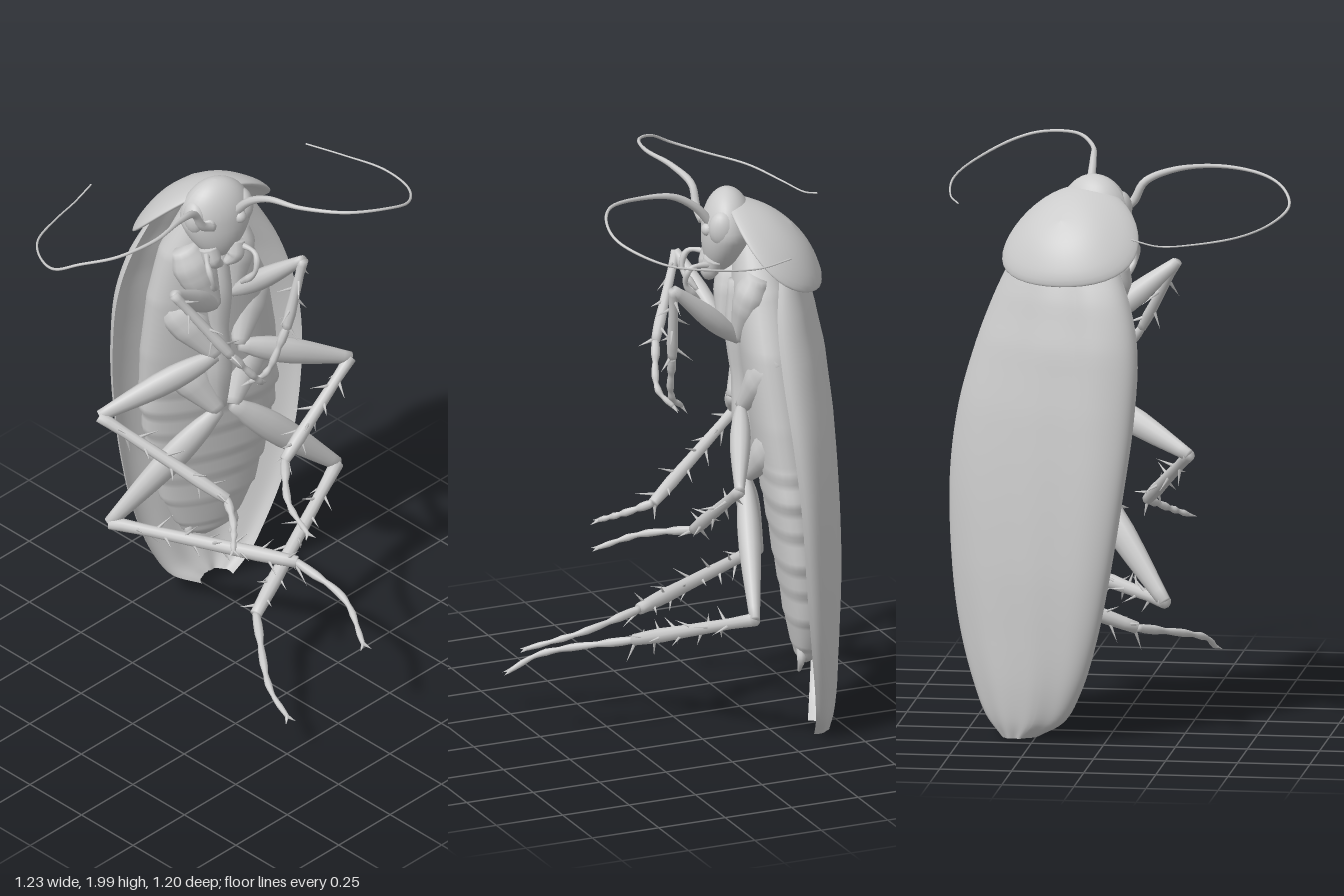
import * as THREE from 'three';

const V = (x, y, z) => new THREE.Vector3(x, y, z);
const curve = (pts) => new THREE.CatmullRomCurve3(pts.map((p) => V(...p)));
const mat = new THREE.MeshStandardMaterial({ color: 0xcccccc, roughness: 0.7 });
const thin = new THREE.MeshStandardMaterial({ color: 0xcccccc, roughness: 0.7, side: THREE.DoubleSide });

// Body axes: the insect stands upright and is turned a little about y
const U = V(0.94, 0, 0.34);      // across the body
const BACK = V(0.34, 0, -0.94);  // out of the back

const mesh = (name, geo, material = mat) => {
  const m = new THREE.Mesh(geo, material);
  m.name = name;
  return m;
};

// Surface from fn(u, v) -> Vector3; closed joins the u ends
function grid(fn, nu, nv, closed) {
  const pos = [], idx = [], cols = closed ? nu : nu + 1;
  for (let j = 0; j <= nv; j++)
    for (let i = 0; i < cols; i++) pos.push(...fn(i / nu, j / nv, j).toArray());
  for (let j = 0; j < nv; j++)
    for (let i = 0; i < nu; i++) {
      const k = (i + 1) % cols, a = j * cols + i, b = j * cols + k, c = a + cols, d = b + cols;
      idx.push(a, b, c, b, d, c);
    }
  const g = new THREE.BufferGeometry();
  g.setAttribute('position', new THREE.Float32BufferAttribute(pos, 3));
  g.setIndex(idx);
  g.computeVertexNormals();
  return g;
}

const lerpList = (list, t) => {
  const f = t * (list.length - 1), i = Math.min(Math.floor(f), list.length - 2);
  return THREE.MathUtils.lerp(list[i], list[i + 1], f - i);
};

// Capped tube along points with varying radius; flat < 1 thins it front to back
function limb(name, pts, radii, n = 14, sides = 10, flat = 1) {
  const c = curve(pts), fr = c.computeFrenetFrames(n);
  return mesh(name, grid((u, v, j) => {
    const k = THREE.MathUtils.clamp(j - 1, 0, n);
    const r = j === 0 || j === n + 2 ? 0 : lerpList(radii, k / n);
    const a = u * Math.PI * 2;
    const off = V(0, 0, 0).addScaledVector(fr.normals[k], Math.cos(a) * r).addScaledVector(fr.binormals[k], Math.sin(a) * r);
    off.addScaledVector(BACK, (flat - 1) * off.dot(BACK));
    return c.getPointAt(k / n).add(off);
  }, sides, n + 2, true));
}

function spike(at, dir, len, r) {
  const m = mesh('spine', new THREE.ConeGeometry(r, len, 5).translate(0, len / 2, 0));
  m.position.copy(at);
  m.quaternion.setFromUnitVectors(V(0, 1, 0), dir.clone().normalize());
  return m;
}

// Leg: coxa, flattened femur, spiny tibia, jointed tarsus with two claws
function leg(name, root, hip, knee, ankle, toes, size, spines) {
  const g = new THREE.Group();
  g.name = name;
  const K = V(...knee), A = V(...ankle), H = V(...hip);
  g.add(limb('coxa', [root, hip], [0.045, 0.075, 0.07, 0.048, 0.026], 14, 12, 0.8));
  g.add(limb('femur', [hip, knee], [0.022, 0.04, 0.048, 0.047, 0.04, 0.031, 0.022].map((r) => r * size), 14, 12, 0.75));
  g.add(limb('tibia', [knee, ankle], [0.022, 0.018, 0.02, 0.021, 0.024, 0.019].map((r) => r * size)));
  g.add(limb('tarsus', [ankle, ...toes], [0.013, 0.016, 0.016, 0.01, 0.013, 0.014, 0.009, 0.013, 0.008, 0.011, 0.008], 30, 8));
  const axis = A.clone().sub(K).normalize();
  const side = axis.clone().cross(H.sub(K)).normalize();
  for (let i = 0; i < spines; i++) {
    const at = K.clone().lerp(A, 0.15 + (0.85 * i) / (spines - 1));
    const out = side.clone().applyAxisAngle(axis, i * 2.3);
    g.add(spike(at.addScaledVector(out, 0.012), out.addScaledVector(axis, 0.8), 0.055 + 0.012 * (i % 3), 0.007));
  }
  const tip = V(...toes.at(-1));
  const dir = tip.clone().sub(V(...toes.at(-2))).normalize();
  for (const s of [-1, 1]) g.add(spike(tip, dir.clone().addScaledVector(U, s * 0.7), 0.035, 0.008));
  return g;
}

// Folded wings: a vaulted shell between two edge curves
const edgeL = curve([[0.0, 1.74, -0.38], [-0.08, 1.55, -0.43], [-0.113, 1.38, -0.46], [-0.105, 1.15, -0.49],
  [-0.073, 0.9, -0.515], [-0.025, 0.6, -0.52], [0.02, 0.38, -0.51], [0.075, 0.2, -0.485], [0.14, 0.08, -0.45], [0.24, 0.015, -0.4]]);
const edgeR = curve([[0.32, 1.72, -0.26], [0.4, 1.55, -0.215], [0.465, 1.38, -0.205], [0.53, 1.15, -0.215],
  [0.56, 0.9, -0.235], [0.55, 0.6, -0.26], [0.52, 0.38, -0.29], [0.47, 0.2, -0.325], [0.42, 0.08, -0.35], [0.36, 0.01, -0.37]]);
const vault = [0.06, 0.115, 0.135, 0.13, 0.115, 0.105, 0.088, 0.075, 0.062, 0.05];

function wing(name, s0, s1, lift) {
  return mesh(name, grid((u, v) => {
    const a = THREE.MathUtils.lerp(Math.acos(-s0), Math.acos(-s1), u), s = -Math.cos(a);
    const p = edgeL.getPoint(v).lerp(edgeR.getPoint(v), (s + 1) / 2);
    const ripple = 0.004 * Math.sin(s * 9 + v * 5) * Math.sin(a);
    return p.addScaledVector(BACK, lerpList(vault, v) * Math.pow(Math.sin(a), 0.8) + ripple + lift * Math.sin(a));
  }, 24, 48, false), thin);
}

// Thorax and ringed abdomen with a flattened belly
function trunk() {
  const mid = curve([[0.1, 1.76, -0.26], [0.12, 1.6, -0.275], [0.15, 1.4, -0.29], [0.18, 1.15, -0.315],
    [0.21, 0.9, -0.34], [0.235, 0.65, -0.365], [0.25, 0.42, -0.385], [0.25, 0.28, -0.39], [0.245, 0.23, -0.39]]);
  const width = [0.07, 0.16, 0.22, 0.25, 0.26, 0.23, 0.17, 0.095, 0.0];
  const depth = [0.07, 0.1, 0.105, 0.105, 0.1, 0.09, 0.075, 0.045, 0.0];
  return mesh('trunk', grid((u, v) => {
    const a = u * Math.PI * 2 - Math.PI / 2, p = mid.getPoint(v), sn = Math.sin(a);
    const ring = p.y < 1 ? 1.02 - 0.06 * (((p.y + 1) / 0.11) % 1) : 1;
    return p.addScaledVector(U, Math.cos(a) * lerpList(width, v) * ring)
      .addScaledVector(BACK, -Math.sign(sn) * Math.pow(Math.abs(sn), 0.85) * lerpList(depth, v) * ring);
  }, 32, 96, true));
}

// Shield behind the head
function shield() {
  const D = V(0.25, -0.68, -0.69), N = V(0.24, 0.73, -0.64), C = V(0.145, 1.755, -0.315);
  const profile = curve([[0, 0.035, 0], [0.5, 0.025, 0], [0.92, -0.008, 0], [1, 0, 0], [0.94, 0.018, 0], [0.7, 0.05, 0], [0.4, 0.074, 0], [0, 0.086, 0]]);
  return mesh('shield', grid((u, v) => {
    const a = u * Math.PI * 2, p = profile.getPoint(v);
    const x = p.x * Math.cos(a) * (1 + 0.12 * Math.sin(a)), y = p.x * Math.sin(a);
    return C.clone().addScaledVector(U, 0.25 * x).addScaledVector(D, 0.22 * y)
      .addScaledVector(N, p.y - 0.045 * x * x);
  }, 40, 28, true));
}

function head() {
  const g = new THREE.Group();
  g.name = 'head';
  const skull = new THREE.SphereGeometry(1, 32, 24), p = skull.attributes.position;
  for (let i = 0; i < p.count; i++) {
    const y = p.getY(i), low = Math.max(0, -y);
    p.setXYZ(i, p.getX(i) * 0.13 * (1 - 0.3 * low), y * 0.15, p.getZ(i) * 0.09 * (1 - 0.2 * low) + 0.03 * low);
  }
  skull.computeVertexNormals();
  g.add(mesh('skull', skull));
  for (const s of [-1, 1]) {
    const eye = mesh('eye', new THREE.SphereGeometry(1, 18, 14));
    eye.scale.set(0.04, 0.065, 0.05);
    eye.position.set(s * 0.088, 0.03, 0.02);
    const socket = mesh('antennaSocket', new THREE.SphereGeometry(0.024, 14, 10));
    socket.position.set(s * 0.058, 0.02, 0.07);
    g.add(eye, socket);
    g.add(limb('mandible', [[s * 0.05, -0.09, 0.05], [s * 0.04, -0.14, 0.065], [s * 0.008, -0.17, 0.06]], [0.035, 0.033, 0.012]));
    g.add(limb('palp', [[s * 0.05, -0.11, 0.03], [s * 0.09, -0.11, 0.13], [s * 0.08, -0.17, 0.15], [s * 0.05, -0.24, 0.1]],
      [0.01, 0.012, 0.008, 0.012, 0.008, 0.014, 0.006], 24, 8));
  }
  g.position.set(0.075, 1.795, -0.17);
  g.rotation.y = -0.35;
  return g;
}

export function createModel() {
  const model = new THREE.Group();
  model.name = 'insect';
  model.add(trunk(), shield(), head());
  model.add(wing('rightWing', -1, -0.2, 0), wing('leftWing', -0.42, 1, 0.008));

  // Long curling antennae
  const whip = [0.017, 0.013, 0.008, 0.006, 0.005, 0.005, 0.004, 0.004, 0.003, 0.003];
  model.add(limb('rightAntenna', [[0, 1.81, -0.11], [-0.05, 1.84, -0.11], [-0.09, 1.91, -0.11], [-0.19, 1.95, -0.08], [-0.34, 1.96, -0.05],
    [-0.49, 1.945, -0.09], [-0.58, 1.915, -0.18], [-0.612, 1.87, -0.26], [-0.57, 1.83, -0.37], [-0.47, 1.8, -0.49],
    [-0.31, 1.78, -0.555], [-0.2, 1.777, -0.58], [-0.11, 1.8, -0.59]], whip, 90, 8));
  model.add(limb('leftAntenna', [[0.1, 1.83, -0.1], [0.105, 1.9, -0.04], [0.11, 1.955, 0.05], [0.13, 1.975, 0.18], [0.21, 1.99, 0.33],
    [0.345, 1.975, 0.4], [0.44, 1.945, 0.395], [0.56, 1.89, 0.28], [0.605, 1.86, 0.115], [0.59, 1.835, -0.06], [0.545, 1.835, -0.2]], whip, 90, 8));

  // Legs, each posed on its own: root, hip, knee, ankle, toes
  model.add(
    leg('rightFrontLeg', [-0.01, 1.66, -0.24], [0.06, 1.42, -0.16], [-0.2, 1.63, -0.1], [-0.06, 1.37, 0.04], [[0.04, 1.23, 0.075], [0.09, 1.18, 0.04]], 0.85, 7),
    leg('leftFrontLeg', [0.22, 1.66, -0.22], [0.16, 1.42, -0.17], [0.23, 1.66, 0.1], [0.17, 1.39, 0.08], [[0.1, 1.22, 0.05], [0.07, 1.17, 0]], 0.85, 7),
    leg('rightMiddleLeg', [0.0, 1.4, -0.33], [0.09, 1.18, -0.18], [-0.28, 1.01, -0.38], [-0.08, 0.77, 0.04], [[-0.13, 0.73, 0.12], [-0.2, 0.69, 0.19]], 1, 13),
    leg('leftMiddleLeg', [0.33, 1.4, -0.25], [0.19, 1.18, -0.17], [0.56, 1.02, 0], [0.22, 0.77, 0.02], [[0.09, 0.73, 0.17], [0.05, 0.69, 0.3]], 1, 13),
    leg('rightHindLeg', [0.03, 1.14, -0.35], [0.12, 0.92, -0.2], [-0.2, 0.5, -0.41], [0.12, 0.47, 0.18], [[0.13, 0.42, 0.4], [0.05, 0.36, 0.57]], 1.1, 18),
    leg('leftHindLeg', [0.36, 1.14, -0.27], [0.18, 0.92, -0.19], [0.555, 0.54, -0.06], [-0.03, 0.3, 0.13], [[-0.23, 0.22, 0.4], [-0.25, 0.17, 0.5]], 1.1, 18),
  );

  // Breast keel between the legs and the pair of tail feelers
  model.add(limb('keel', [[0.11, 1.62, -0.19], [0.12, 1.3, -0.2], [0.15, 0.92, -0.23]], [0.03, 0.05, 0.035, 0.05, 0.03]));
  for (const s of [-1, 1])
    model.add(limb('tailFeeler', [[0.25 + s * 0.06, 0.34, -0.365 + s * 0.025], [0.25 + s * 0.08, 0.28, -0.365 + s * 0.03], [0.25 + s * 0.06, 0.23, -0.365 + s * 0.03]],
      [0.016, 0.016, 0.005]));
  return model;
}
